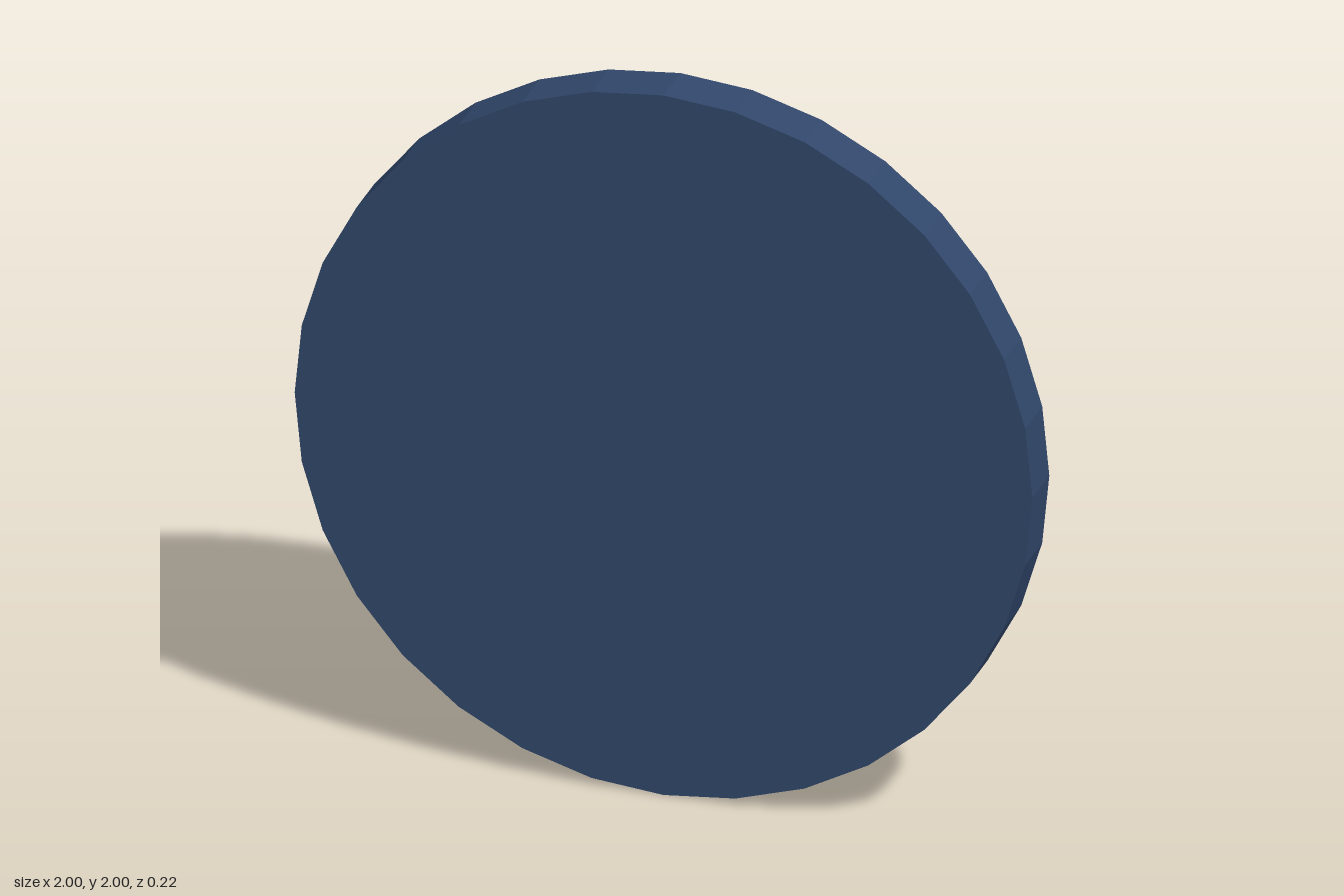
import * as THREE from 'three';

const SIDES = 32;

// Thin faceted shell turned around the z axis from [radius, z] pairs
function turnedShell(name, profile, color) {
  const points = profile.map(([r, z]) => new THREE.Vector2(r, z));
  const geometry = new THREE.LatheGeometry(points, SIDES);
  geometry.rotateX(Math.PI / 2);
  const material = new THREE.MeshStandardMaterial({
    color, flatShading: true, side: THREE.DoubleSide,
  });
  const mesh = new THREE.Mesh(geometry, material);
  mesh.name = name;
  mesh.position.y = 1;
  return mesh;
}

export function createModel() {
  const model = new THREE.Group();
  model.name = 'roundDish';

  // Flat front with a straight side wall, hollow behind
  model.add(turnedShell('dish', [[1, -0.03], [1, 0.11], [0, 0.11]], 0x31476b));

  // Sloping rim that ends in a narrow flat lip at the back
  model.add(turnedShell('bevelledRim', [[0.858, -0.11], [0.9, -0.11], [1, -0.03]], 0x00e8e8));

  return model;
}
